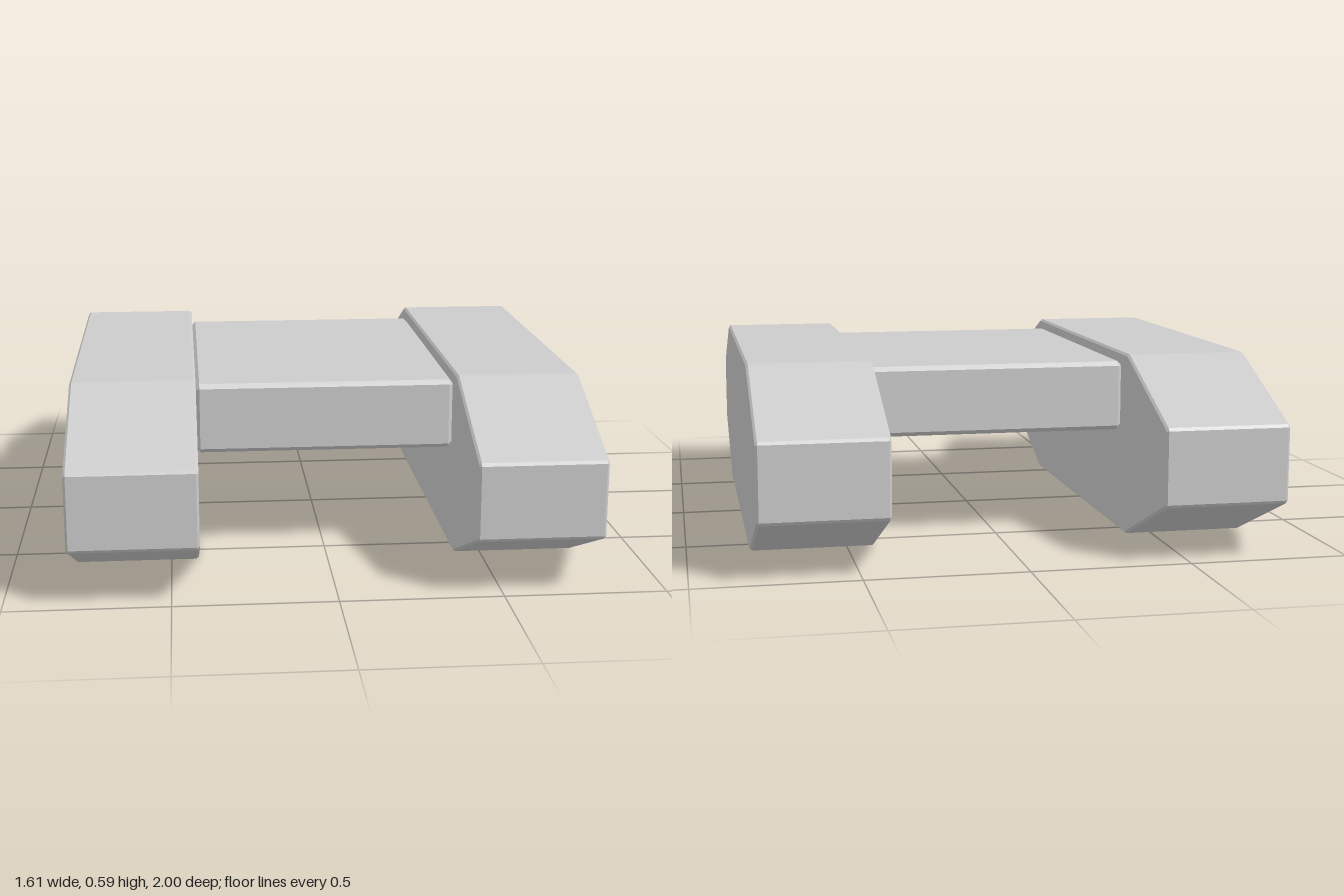
import * as THREE from 'three';

// Closed outline from [z, y] points with every corner cut back by c
function chamferedShape(points, c) {
  const out = [];
  points.forEach(([z, y], i) => {
    const p = new THREE.Vector2(z, y);
    for (const step of [points.length - 1, 1]) {
      const q = new THREE.Vector2(...points[(i + step) % points.length]);
      out.push(q.sub(p).setLength(c).add(p));
    }
  });
  return new THREE.Shape(out);
}

// Side profile extruded across x between x0 and x1, with bevelled rims
function sideExtrusion(points, x0, x1, bevel) {
  const geometry = new THREE.ExtrudeGeometry(chamferedShape(points, bevel), {
    depth: x1 - x0 - 2 * bevel,
    bevelEnabled: true,
    bevelThickness: bevel,
    bevelSize: bevel,
    bevelOffset: -bevel,
    bevelSegments: 1,
  });
  geometry.rotateY(-Math.PI / 2);
  geometry.translate(x1 - bevel, 0, 0);
  return geometry;
}

export function createModel() {
  const group = new THREE.Group();
  const grey = new THREE.MeshStandardMaterial({ color: 0xcccccc });
  grey.name = 'light grey';

  const add = (name, geometry) => {
    const mesh = new THREE.Mesh(geometry, grey);
    mesh.name = name;
    group.add(mesh);
  };

  // Long eight-sided track pods on both sides
  const trackProfile = [
    [-0.59, 0], [0.59, 0], [1, 0.175], [1, 0.415],
    [0.59, 0.59], [-0.59, 0.59], [-1, 0.415], [-1, 0.175],
  ];
  add('leftTrack', sideExtrusion(trackProfile, 0.413, 0.805, 0.007));
  add('rightTrack', sideExtrusion(trackProfile, -0.805, -0.413, 0.007));

  // Flat hull slab joining the tracks
  const hullProfile = [[-0.53, 0.335], [0.53, 0.335], [0.53, 0.56], [-0.53, 0.56]];
  add('hull', sideExtrusion(hullProfile, -0.415, 0.415, 0.014));

  return group;
}
